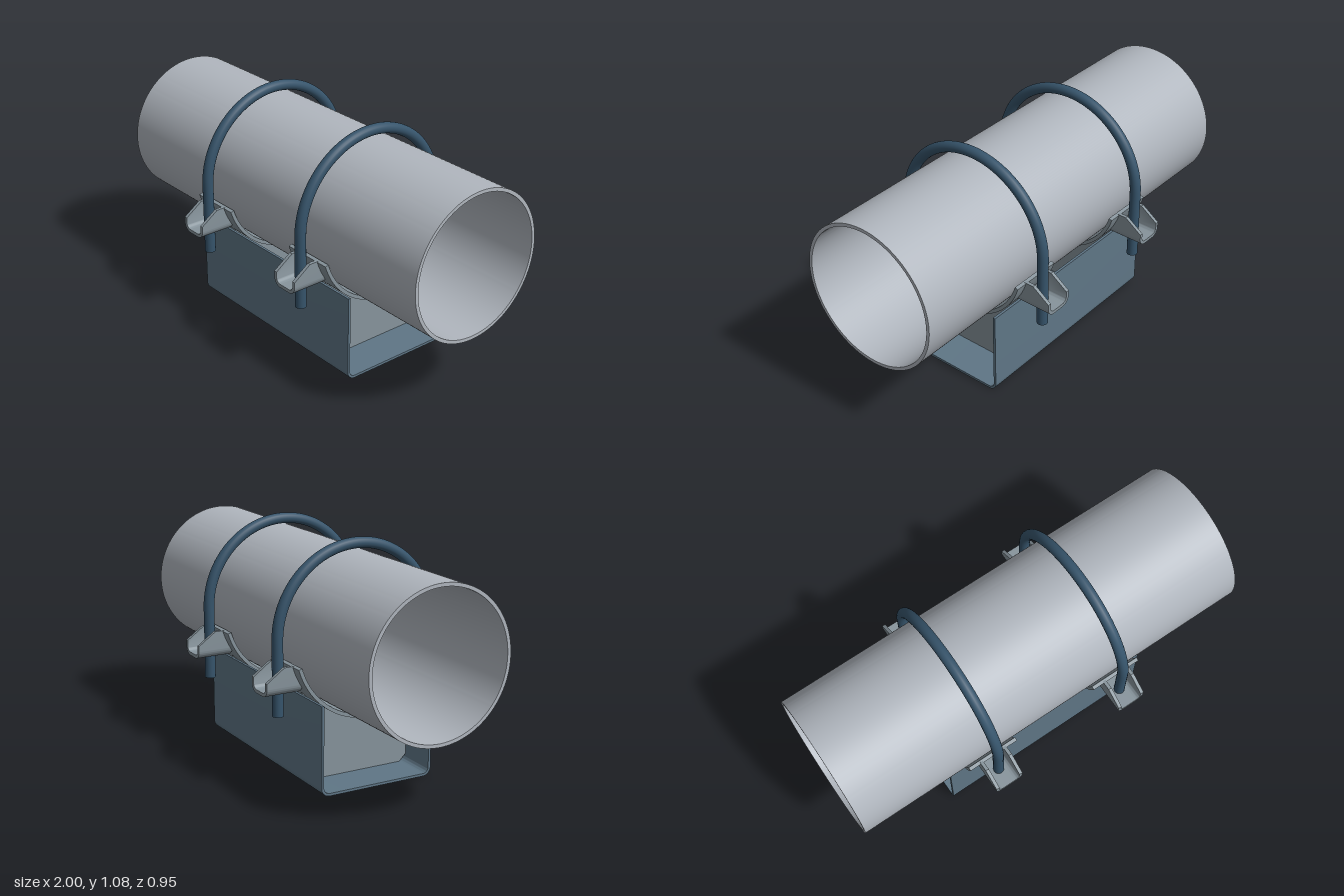
import * as THREE from 'three';
import { toCreasedNormals } from 'three/addons/utils/BufferGeometryUtils.js';

const AXIS_Y = 0.667;   // height of the pipe axis
const CLAMP_X = 0.337;  // clamp stations along the pipe

const paint = (color) => new THREE.MeshStandardMaterial({ color });
const pipePaint = paint(0xb0b6be);
const channelPaint = paint(0x5f7686);
const bracketPaint = paint(0x87949c);
const boltPaint = paint(0x36546b);

function add(parent, name, geometry, material) {
  const mesh = new THREE.Mesh(geometry, material);
  mesh.name = name;
  parent.add(mesh);
  return mesh;
}

// Extrude a profile drawn in (z, y) along x, centred on x = 0
function extrudeAlongX(shape, length, curveSegments = 48) {
  const g = new THREE.ExtrudeGeometry(shape, { depth: length, bevelEnabled: false, curveSegments });
  g.translate(0, 0, -length / 2).rotateY(Math.PI / 2);
  return toCreasedNormals(g, 0.5);
}

// Folded U profile, open at the top, with rounded bottom corners
function uProfile(half, bottom, top, t, r) {
  const s = new THREE.Shape();
  const ri = r - t;
  s.moveTo(-half, top);
  s.lineTo(-half, bottom + r);
  s.absarc(-half + r, bottom + r, r, Math.PI, Math.PI * 1.5, false);
  s.absarc(half - r, bottom + r, r, Math.PI * 1.5, Math.PI * 2, false);
  s.lineTo(half, top);
  s.lineTo(half - t, top);
  s.absarc(half - r, bottom + r, ri, 0, -Math.PI / 2, true);
  s.absarc(-half + r, bottom + r, ri, -Math.PI / 2, -Math.PI, true);
  s.lineTo(-half + t, top);
  s.closePath();
  return s;
}

function pipeGeometry() {
  const ring = new THREE.Shape().absarc(0, AXIS_Y, 0.341, 0, Math.PI * 2, false);
  ring.holes.push(new THREE.Path().absarc(0, AXIS_Y, 0.325, 0, Math.PI * 2, true));
  return extrudeAlongX(ring, 2, 96);
}

// Curved strip that hugs the underside of the pipe
function saddleGeometry() {
  const a = Math.PI + 0.29, b = Math.PI * 2 - 0.29;
  const s = new THREE.Shape();
  s.absarc(0, AXIS_Y, 0.367, a, b, false);
  s.absarc(0, AXIS_Y, 0.35, b, a, true);
  s.closePath();
  return extrudeAlongX(s, 0.25);
}

// Upright plate inside the channel, scooped on top and clipped at the lower corners
function gussetGeometry() {
  const w = 0.269, r = 0.366, dip = Math.acos(w / r);
  const s = new THREE.Shape();
  s.moveTo(-w, 0.045);
  s.lineTo(-w + 0.035, 0.011);
  s.lineTo(w - 0.035, 0.011);
  s.lineTo(w, 0.045);
  s.absarc(0, AXIS_Y, r, -dip, -Math.PI + dip, true);
  s.closePath();
  return extrudeAlongX(s, 0.016);
}

// Small U-shaped ear: inner end follows the saddle, outer end slopes down
function lugGeometry() {
  const z0 = 0.305, z1 = 0.475;
  const shape = uProfile(0.07, 0.44, 0.565, 0.016, 0.04);
  const g = new THREE.ExtrudeGeometry(shape, {
    depth: z1 - z0, steps: 2, bevelEnabled: false, curveSegments: 10,
  });
  g.translate(0, 0, z0);
  const p = g.attributes.position;
  for (let i = 0; i < p.count; i++) {
    const y = p.getY(i), z = p.getZ(i);
    if (z < z0 + 0.01) p.setZ(i, Math.max(z0, Math.sqrt(0.358 ** 2 - (y - AXIS_Y) ** 2)));
    if (z > z1 - 0.01) p.setY(i, Math.min(y, 0.505));
  }
  return toCreasedNormals(g, 0.5);
}

// U-bolt: two straight legs joined by a half circle
function boltGeometry() {
  const R = 0.387, r = 0.025, foot = 0.33;
  const v = (y, z) => new THREE.Vector3(0, y, z);
  const points = [];
  for (let i = 0; i <= 6; i++) points.push(v(foot + (AXIS_Y - foot) * i / 6, R));
  for (let i = 1; i < 48; i++) {
    const a = Math.PI * i / 48;
    points.push(v(AXIS_Y - 0.002 + R * Math.sin(a), R * Math.cos(a)));
  }
  for (let i = 6; i >= 0; i--) points.push(v(foot + (AXIS_Y - foot) * i / 6, -R));
  return new THREE.TubeGeometry(new THREE.CatmullRomCurve3(points), 120, r, 20, false);
}

export function createModel() {
  const model = new THREE.Group();
  model.name = 'clampedPipeSupport';

  add(model, 'pipe', pipeGeometry(), pipePaint);
  add(model, 'baseChannel', extrudeAlongX(uProfile(0.28, 0, 0.41, 0.012, 0.04), 1.06, 12), channelPaint);

  const saddle = saddleGeometry();
  const gusset = gussetGeometry();
  const lug = lugGeometry();
  const bolt = boltGeometry();
  const boltEnd = new THREE.CircleGeometry(0.025, 20).rotateX(Math.PI / 2);

  // One complete clamp at each station
  for (const side of [-1, 1]) {
    const clamp = new THREE.Group();
    clamp.name = side > 0 ? 'leftClamp' : 'rightClamp';
    clamp.position.x = side * CLAMP_X;
    add(clamp, 'saddleStrip', saddle, bracketPaint);
    add(clamp, 'gussetPlate', gusset, bracketPaint);
    add(clamp, 'uBolt', bolt, boltPaint);
    for (const face of [1, -1]) {
      add(clamp, face > 0 ? 'frontLug' : 'backLug', lug, bracketPaint).rotation.y = face > 0 ? 0 : Math.PI;
      add(clamp, face > 0 ? 'frontBoltEnd' : 'backBoltEnd', boltEnd, boltPaint).position.set(0, 0.33, face * 0.387);
    }
    model.add(clamp);
  }
  return model;
}
